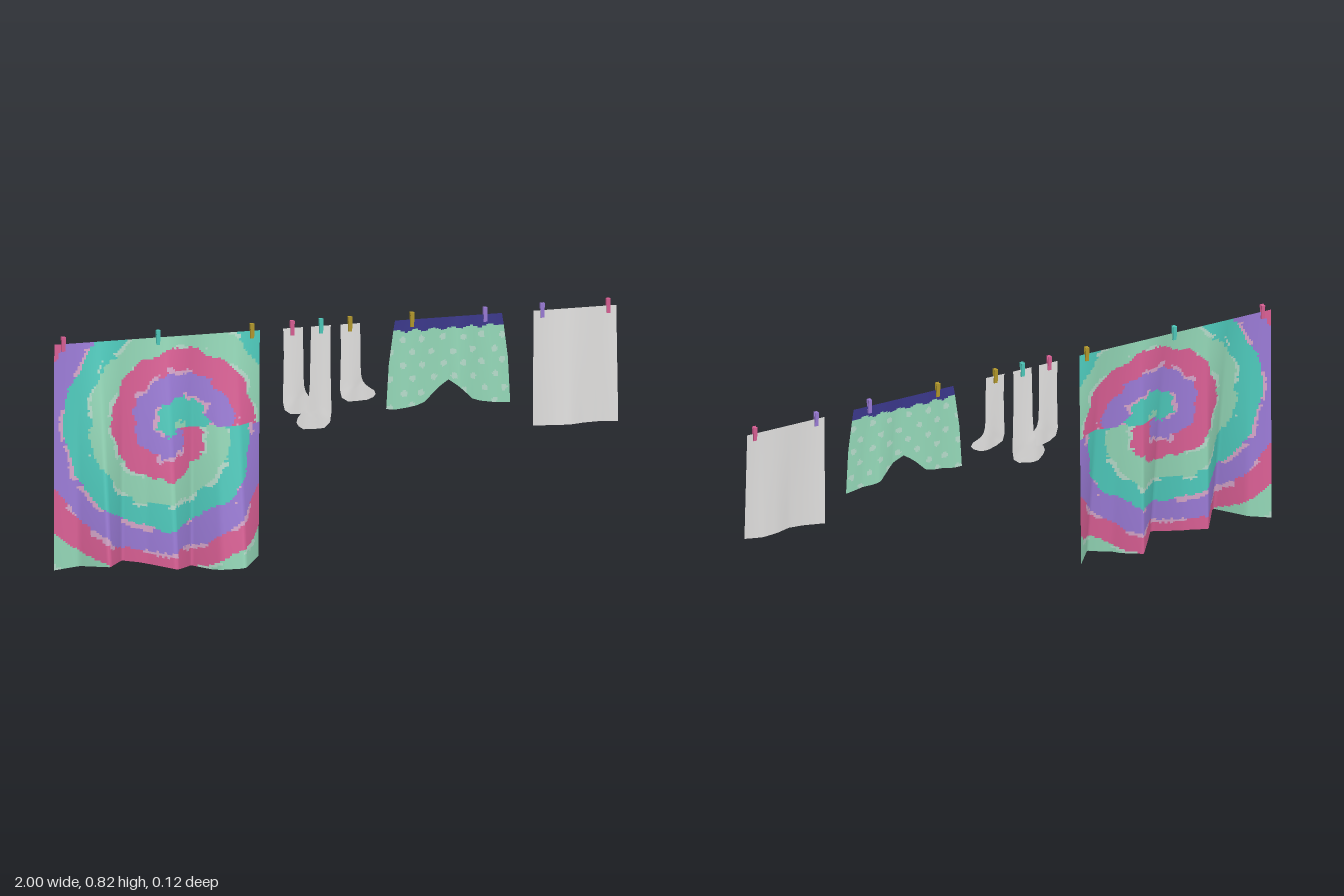
import * as THREE from 'three';

const mat = (name, color) =>
  new THREE.MeshStandardMaterial({ name, color, side: THREE.DoubleSide });
const M = {
  teal: mat('teal', 0x4fccbe),
  purple: mat('purple', 0x9c7cd8),
  pink: mat('pink', 0xdc6096),
  mint: mat('mint', 0x94d8b8),
  paleMint: mat('pale mint', 0xb6dccb),
  lilac: mat('lilac', 0xd8a8cc),
  white: mat('white', 0xe0dfde),
  navy: mat('navy', 0x3a378a),
  yellow: mat('yellow', 0xb59a2c),
};
const LINE_Y = 0.793, LINE_Z = -0.05;

// Piecewise linear lookup in [[t, value], ...]
function at(pts, t) {
  let i = 1;
  while (i < pts.length - 1 && t > pts[i][0]) i++;
  const [a, va] = pts[i - 1], [b, vb] = pts[i];
  return va + (vb - va) * Math.min(1, Math.max(0, (t - a) / (b - a)));
}
// Repeatable value in 0..1 for a cell
function hash(i, j) {
  const s = Math.sin(i * 127.1 + j * 311.7) * 43758.5453;
  return s - Math.floor(s);
}

// Hanging cloth: grid of cells, position from (u, v down), each cell coloured by rule
function cloth(name, nu, nv, position, colour) {
  const pos = [], byColour = {};
  for (let j = 0; j <= nv; j++)
    for (let i = 0; i <= nu; i++) pos.push(...position(i / nu, j / nv));
  for (let j = 0; j < nv; j++)
    for (let i = 0; i < nu; i++) {
      const [x, y] = position((i + 0.5) / nu, (j + 0.5) / nv);
      const a = j * (nu + 1) + i, c = a + nu + 1;
      (byColour[colour(x, y, i, j)] ??= []).push(a, c, a + 1, a + 1, c, c + 1);
    }
  const geo = new THREE.BufferGeometry();
  geo.setAttribute('position', new THREE.Float32BufferAttribute(pos, 3));
  const index = [], mats = [];
  for (const [key, list] of Object.entries(byColour)) {
    geo.addGroup(index.length, list.length, mats.length);
    for (const k of list) index.push(k);
    mats.push(M[key]);
  }
  geo.setIndex(index);
  geo.computeVertexNormals();
  const mesh = new THREE.Mesh(geo, mats);
  mesh.name = name;
  return mesh;
}

// Tie-dye spiral: four bands wound round a centre, with pale blotches between them
function spiral(x, y, i, j) {
  const dx = x + 0.577, dy = y - 0.483;
  const angle = Math.atan2(dy, dx);
  const turn = (angle < 0 ? angle + 2 * Math.PI : angle) / (2 * Math.PI);
  const wobble = 0.006 * Math.sin(angle * 9 + 40 * Math.hypot(dx, dy))
    + 0.004 * Math.sin(angle * 17 + 2) + 0.006 * (hash(i, j) - 0.5);
  const pinkRadius = 0.246 - 0.193 * Math.pow(turn, 1.6);
  const k = (Math.hypot(dx, dy) + wobble - pinkRadius) / 0.082 + 10.5;
  const band = Math.floor(k) % 4;
  const blotch = Math.sin(x * 37 + y * 13) + Math.sin(y * 41 - x * 17 + 1);
  if (k - Math.floor(k) < 0.17 && blotch > 0.1)
    return band === 2 || band === 1 ? 'lilac' : 'paleMint';
  return ['teal', 'purple', 'pink', 'mint'][band];
}

function makeSheet() {
  const folds = [[-1, -0.055], [-0.92, -0.03], [-0.84, 0.062], [-0.757, -0.06],
    [-0.68, -0.012], [-0.6, 0.056], [-0.51, -0.062], [-0.43, 0.018], [-0.355, 0.05], [-0.27, -0.062]];
  const hem = [[0, 0.025], [0.12, 0.04], [0.23, 0.047], [0.4, 0.038], [0.6, 0.015],
    [0.75, 0], [0.86, 0.006], [1, 0.025]];
  return cloth('tieDyeSheet', 98, 106, (u, v) => {
    const x = -1 + 0.73 * u;
    return [x, LINE_Y + (at(hem, u) - LINE_Y) * v, LINE_Z + (at(folds, x) - LINE_Z) * v];
  }, spiral);
}

function makeTowel() {
  const folds = [[0, -0.056], [0.25, -0.034], [0.42, -0.028], [0.6, -0.044], [0.8, -0.05], [1, -0.031]];
  return cloth('towel', 24, 4, (u, v) =>
    [0.702 + 0.294 * u, LINE_Y - 0.391 * v, LINE_Z + (at(folds, u) - LINE_Z) * v], () => 'white');
}

function makeShorts() {
  const side = [[0, 0.19], [0.1, 0.195], [0.5, 0.211], [1, 0.219]]; // half width
  const hem = [[0, 0.493], [0.06, 0.49], [0.24, 0.5], [0.31, 0.51], [0.39, 0.545], [0.44, 0.563],
    [0.5, 0.58], [0.56, 0.562], [0.62, 0.54], [0.7, 0.508], [0.76, 0.5], [0.9, 0.492], [1, 0.489]];
  const folds = [[0, -0.056], [0.15, -0.044], [0.32, -0.052], [0.5, -0.05], [0.58, -0.038],
    [0.72, -0.056], [0.85, -0.042], [1, -0.05]];
  return cloth('boxerShorts', 76, 54, (u, v) => {
    const depth = LINE_Y - at(hem, u);
    const y = LINE_Y - depth * v;
    const half = at(side, (LINE_Y - y) / 0.3);
    return [0.4 + (u * 2 - 1) * half, y, LINE_Z + (at(folds, u) - LINE_Z) * v];
  }, (x, y, i, j) => {
    if (y > 0.755 + 0.004 * Math.sin(x * 95)) return 'navy';
    // staggered polka dots
    const row = Math.round((y - 0.5) / 0.045);
    const shift = (row % 2) * 0.036;
    const col = Math.round((x - 0.2 - shift) / 0.072);
    const cx = 0.2 + shift + col * 0.072 + 0.014 * (hash(col, row) - 0.5);
    const cy = 0.5 + row * 0.045 + 0.01 * (hash(row, col) - 0.5);
    return Math.hypot(x - cx, y - cy) < 0.011 ? 'paleMint' : 'mint';
  });
}

// Sock: ruled between the heel edge and the instep edge, [x, fraction of length]
function makeSock(name, x0, length, dir, z) {
  const heel = [[0, 1], [0.002, 0.7], [0, 0.4], [-0.002, 0.16], [0.004, 0.06], [0.025, 0.01], [0.06, 0],
    [0.095, 0.005], [0.115, 0.04]];
  const instep = [[0.07, 1], [0.072, 0.7], [0.073, 0.45], [0.076, 0.32], [0.082, 0.25], [0.092, 0.2],
    [0.106, 0.16], [0.118, 0.13], [0.124, 0.08]];
  const n = heel.length - 1;
  const edge = (e, v) => [0, 1].map(k => at(e.map((p, i) => [i / n, p[k]]), v));
  const mesh = cloth(name, 6, 24, (u, v) => {
    const a = edge(heel, v), b = edge(instep, v);
    const s = dir > 0 ? u : 1 - u;
    const x = a[0] + (b[0] - a[0]) * s, y = a[1] + (b[1] - a[1]) * s;
    const bend = 0.006 * Math.sin(x * 55 + 0.5) * Math.min(1, v * 2);
    return [x0 + dir * x, LINE_Y - length * (1 - y), z + bend];
  }, () => 'white');
  return mesh;
}

// Clothes peg: two prongs opening towards the top
function makePeg(x, colour) {
  const peg = new THREE.Group();
  peg.name = 'clothesPeg';
  for (const s of [-1, 1]) {
    const prong = new THREE.Mesh(new THREE.BoxGeometry(0.013, 0.05, 0.005), M[colour]);
    prong.name = 'pegProng';
    prong.position.set(0, 0, s * 0.0035);
    prong.rotation.x = s * 0.07;
    peg.add(prong);
  }
  peg.position.set(x, 0.793, LINE_Z);
  return peg;
}

export function createModel() {
  const model = new THREE.Group();
  model.name = 'hangingLaundry';
  model.add(makeSheet(), makeShorts(), makeTowel());
  model.add(
    makeSock('leftmostSock', -0.187, 0.295, 1, -0.05),
    makeSock('middleSock', -0.018, 0.35, -1, -0.05),
    makeSock('rightmostSock', 0.016, 0.265, 1, -0.05),
  );
  const pegs = [[-0.968, 'pink'], [-0.632, 'teal'], [-0.298, 'yellow'], [-0.155, 'pink'], [-0.053, 'teal'],
    [0.05, 'yellow'], [0.27, 'yellow'], [0.53, 'purple'], [0.733, 'purple'], [0.967, 'pink']];
  for (const [x, colour] of pegs) model.add(makePeg(x, colour));
  return model;
}
